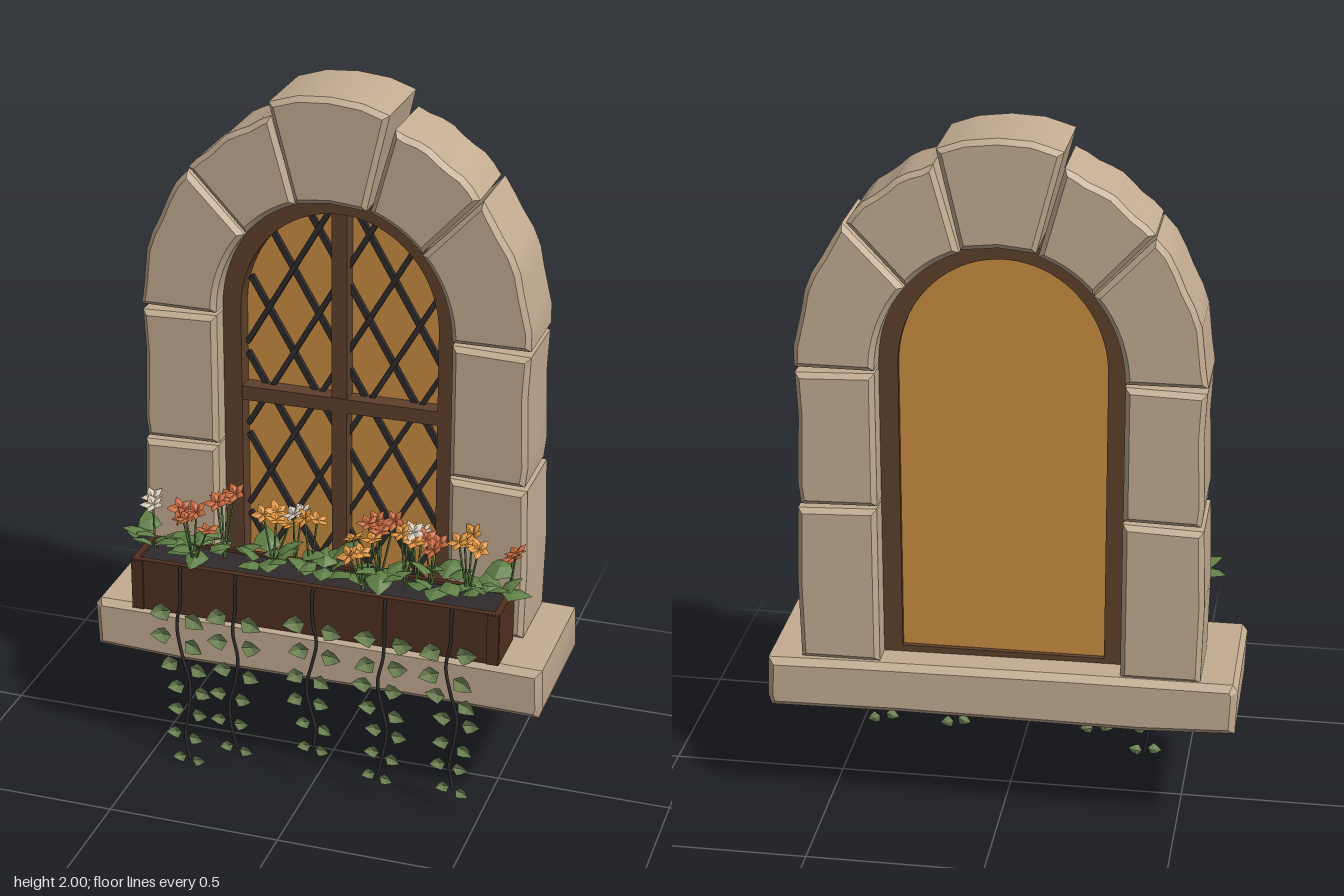
import * as THREE from 'three';
import { mergeGeometries, toCreasedNormals } from 'three/addons/utils/BufferGeometryUtils.js';

const mat = (name, color, extra = {}) => Object.assign(new THREE.MeshStandardMaterial({ color, ...extra }), { name });
const thin = { side: THREE.DoubleSide, flatShading: true };
const M = {
  stone: mat('stone', 0xc4ad92),
  frame: mat('frame wood', 0x5e402b),
  planter: mat('planter wood', 0x502f20),
  glass: mat('amber glass', 0xcb8e42),
  dark: mat('lead and soil', 0x2f2b2c),
  vine: mat('vine leaf', 0x7d9460, thin),
  leaf: mat('planter leaf', 0x5f7f45, thin),
  red: mat('coral petal', 0xc8693f, thin),
  orange: mat('orange petal', 0xdf9440, thin),
  white: mat('pale petal', 0xd9cbb8, thin),
};

let seed = 7;
const rnd = (a = 0, b = 1) => {
  seed = (seed * 16807) % 2147483647;
  return a + (b - a) * (seed / 2147483647);
};

const SPRING = 1.34; // height where the arch starts

function add(parent, name, geo, material, x = 0, y = 0, z = 0) {
  const mesh = new THREE.Mesh(geo, material);
  mesh.name = name;
  mesh.position.set(x, y, z);
  parent.add(mesh);
  return mesh;
}
const box = (parent, name, material, w, h, d, x, y, z) =>
  add(parent, name, new THREE.BoxGeometry(w, h, d), material, x, y, z);

// Bevelled slab from an outline, filling z0..z1
function slab(points, z0, z1, bevel) {
  const shape = points instanceof THREE.Shape ? points : new THREE.Shape(points.map(p => new THREE.Vector2(...p)));
  const geo = new THREE.ExtrudeGeometry(shape, {
    depth: z1 - z0 - 2 * bevel, bevelEnabled: bevel > 0, bevelThickness: bevel,
    bevelSize: bevel, bevelOffset: -bevel, bevelSegments: 1, curveSegments: 20,
  });
  geo.translate(0, 0, z0 + bevel);
  return toCreasedNormals(geo, 0.45);
}

// Round-headed outline
function arch(Type, halfWidth, base, rise) {
  const s = new Type();
  s.moveTo(-halfWidth, base);
  s.lineTo(halfWidth, base);
  s.lineTo(halfWidth, SPRING);
  s.absellipse(0, SPRING, halfWidth, rise, 0, Math.PI, false, 0);
  s.lineTo(-halfWidth, base);
  return s;
}

function buildStones(root) {
  const g = new THREE.Group();
  g.name = 'stoneSurround';
  root.add(g);
  add(g, 'sill', slab([[-0.66, 0.33], [-0.4, 0.32], [0.3, 0.325], [0.65, 0.32], [0.66, 0.35],
    [0.655, 0.47], [0.4, 0.475], [-0.2, 0.48], [-0.65, 0.48], [-0.665, 0.46]], -0.24, 0.18, 0.018), M.stone);

  // Curved wedge between two angles in degrees
  const wedge = (a0, a1) => {
    const at = (a, rx, ry) => [Math.cos(a) * rx, SPRING + Math.sin(a) * ry];
    const outer = [], inner = [], n = 8;
    for (let i = 0; i <= n; i++) {
      const a = THREE.MathUtils.degToRad(a0 + (a1 - a0) * i / n);
      const w = 0.004 * Math.sin(i * 1.7 + a0);
      outer.push(at(a, 0.555 + w, 0.612 + w));
      inner.unshift(at(a, 0.338, 0.362));
    }
    return [...outer, ...inner];
  };
  for (const s of [1, -1]) {
    // Jamb blocks
    const jamb = pts => pts.map(([x, y]) => [x * s, y]);
    add(g, 'lowerJamb', slab(jamb([[0.338, 0.475], [0.56, 0.475], [0.565, 0.7], [0.558, 0.93], [0.338, 0.938]]),
      -0.225, 0.022, 0.014), M.stone);
    add(g, 'upperJamb', slab(jamb([[0.338, 0.945], [0.55, 0.94], [0.557, 1.0], [0.55, 1.2], [0.556, 1.325], [0.338, 1.332]]),
      -0.22, 0.018, 0.014), M.stone);
    // Arch blocks
    const mirror = (a, b) => (s > 0 ? [a, b] : [180 - b, 180 - a]);
    add(g, 'lowerArchStone', slab(wedge(...mirror(0.3, 42)), -0.225, 0.022, 0.014), M.stone);
    add(g, 'upperArchStone', slab(wedge(...mirror(42.7, 72)), -0.222, 0.018, 0.014), M.stone);
  }
  add(g, 'keystone', slab([[-0.1, 1.695], [0, 1.705], [0.1, 1.695], [0.162, 1.965], [0.09, 1.99], [0, 2.0],
    [-0.09, 1.995], [-0.172, 1.97]], -0.23, 0.04, 0.014), M.stone);
}

function buildWindow(root) {
  const g = new THREE.Group();
  g.name = 'window';
  root.add(g);
  const frame = arch(THREE.Shape, 0.338, 0.475, 0.362);
  frame.holes.push(arch(THREE.Path, 0.285, 0.495, 0.31));
  add(g, 'windowFrame', slab(frame, -0.145, -0.045, 0), M.frame);
  add(g, 'glassPane', slab(arch(THREE.Shape, 0.29, 0.49, 0.315), -0.13, -0.1, 0), M.glass);
  box(g, 'mullion', M.frame, 0.044, 1.16, 0.05, 0, 1.07, -0.075);
  box(g, 'crossbar', M.frame, 0.58, 0.042, 0.05, 0, 1.085, -0.073);

  // Diagonal lead bars, clipped to the opening
  const inside = (x, y) => Math.abs(x) < 0.286 && y > 0.495 &&
    (y < SPRING || (x / 0.286) ** 2 + ((y - SPRING) / 0.311) ** 2 < 1);
  const slope = 1.72;
  for (const s of [1, -1]) {
    for (let k = -8; k <= 8; k++) {
      const hits = [];
      for (let x = -0.286; x <= 0.286; x += 0.004) {
        const y = 1.085 + s * slope * x + (k + 0.5) * 0.25;
        if (inside(x, y)) hits.push(new THREE.Vector2(x, y));
      }
      if (hits.length < 4) continue;
      const a = hits[0], b = hits[hits.length - 1];
      const bar = box(g, 'leadBar', M.dark, a.distanceTo(b), 0.015, 0.016,
        (a.x + b.x) / 2, (a.y + b.y) / 2, -0.091 + s * 0.002);
      bar.rotation.z = Math.atan2(b.y - a.y, b.x - a.x);
    }
  }
}

// Folded leaf of unit length along +y
function leafBlade(width) {
  const g = new THREE.BufferGeometry();
  g.setAttribute('position', new THREE.Float32BufferAttribute([
    0, 0, 0, width, 0.28, 0.1, width * 0.72, 0.62, 0.08, 0, 1, 0.12,
    -width * 0.72, 0.62, 0.08, -width, 0.28, 0.1, 0, 0.45, -0.06], 3));
  g.setIndex([0, 1, 6, 1, 2, 6, 2, 3, 6, 3, 4, 6, 4, 5, 6, 5, 0, 6]);
  const flat = g.toNonIndexed();
  flat.computeVertexNormals();
  return flat;
}
const LEAF = leafBlade(0.44), PETAL = leafBlade(0.36);

function placed(blade, pos, pitch, yaw, roll, size) {
  const q = new THREE.Quaternion().setFromEuler(new THREE.Euler(pitch, yaw, roll, 'YXZ'));
  return blade.clone().applyMatrix4(new THREE.Matrix4().compose(pos, q, new THREE.Vector3(size, size, size)));
}

function buildPlanter(root) {
  const g = new THREE.Group();
  g.name = 'planter';
  root.add(g);
  box(g, 'planterFront', M.planter, 1.08, 0.155, 0.018, -0.005, 0.5525, 0.169);
  box(g, 'planterBack', M.planter, 1.08, 0.155, 0.014, -0.005, 0.5525, 0.03);
  box(g, 'planterFloor', M.planter, 1.05, 0.016, 0.14, -0.005, 0.484, 0.1);
  for (const s of [1, -1]) {
    box(g, 'planterEnd', M.planter, 0.018, 0.155, 0.15, -0.005 + s * 0.531, 0.5525, 0.1);
    box(g, 'cornerBatten', M.planter, 0.034, 0.153, 0.008, -0.005 + s * 0.522, 0.5525, 0.18);
  }
  box(g, 'soil', M.dark, 1.05, 0.02, 0.134, -0.005, 0.61, 0.1);

  // Bushy leaves
  const leaves = [], stems = [];
  const clumps = [[-0.5, 0.1], [-0.36, 0.1], [-0.16, 0.1], [0.01, 0.11], [0.17, 0.11], [0.34, 0.09], [0.49, 0.1]];
  for (const [x, z] of clumps) {
    for (let i = 0; i < 9; i++) {
      const yaw = i * 0.7 + rnd(-0.3, 0.3);
      const pos = new THREE.Vector3(x + Math.sin(yaw) * 0.025, rnd(0.64, 0.69), z + Math.cos(yaw) * 0.01);
      leaves.push(placed(LEAF, pos, rnd(0.9, 1.85), yaw, 0, rnd(0.065, 0.095)));
    }
  }
  add(g, 'planterLeaves', mergeGeometries(leaves), M.leaf);

  // Flower heads in small bunches
  const petals = { red: [], orange: [], white: [] };
  const bunches = [
    ['red', -0.3, 0.79, 0.06, 4], ['red', -0.37, 0.77, 0.17, 5], ['orange', -0.15, 0.76, 0.08, 4],
    ['white', -0.09, 0.775, 0.06, 2], ['orange', -0.04, 0.77, 0.08, 2], ['red', 0.16, 0.79, 0.06, 4],
    ['orange', 0.13, 0.76, 0.16, 4], ['white', 0.27, 0.77, 0.07, 2], ['orange', 0.24, 0.775, 0.09, 3],
    ['red', 0.31, 0.76, 0.07, 3], ['orange', 0.42, 0.79, 0.09, 4], ['red', 0.53, 0.75, 0.05, 2],
    ['white', -0.51, 0.745, 0.07, 2],
  ];
  for (const [color, x, y, z, count] of bunches) {
    for (let i = 0; i < count; i++) {
      const a = i * 2.4 + x * 9, r = 0.018 + 0.009 * i;
      const c = new THREE.Vector3(x + Math.cos(a) * r, y + rnd(-0.02, 0.03), z + Math.sin(a) * r * 0.8);
      const tilt = new THREE.Matrix4().makeRotationFromEuler(new THREE.Euler(rnd(-0.1, 0.8), 0, rnd(-0.5, 0.5)));
      for (let p = 0; p < 5; p++) {
        petals[color].push(placed(PETAL, new THREE.Vector3(), 1.25, p * Math.PI * 0.4, 0, rnd(0.034, 0.04))
          .applyMatrix4(tilt).translate(c.x, c.y, c.z));
      }
      const foot = new THREE.Vector3(x, 0.62, 0.1 + (z - 0.1) * 0.6);
      stems.push(new THREE.TubeGeometry(new THREE.LineCurve3(foot, c), 1, 0.003, 4));
    }
  }
  for (const color in petals) add(g, color + 'Flowers', mergeGeometries(petals[color]), M[color]);
  add(g, 'flowerStems', mergeGeometries(stems), M.leaf);
}

function buildVines(root) {
  // Each vine: top x, bottom x, bottom y
  for (const [x0, x1, end] of [[-0.395, -0.365, 0.015], [-0.23, -0.235, 0.08], [0, 0, 0.125], [0.21, 0.21, 0.07], [0.4, 0.425, 0.07]]) {
    const g = new THREE.Group();
    g.name = 'trailingVine';
    root.add(g);
    const pts = [new THREE.Vector3(x0, 0.62, 0.165), new THREE.Vector3(x0, 0.625, 0.185)];
    for (let i = 0; i <= 6; i++) {
      const t = i / 6;
      pts.push(new THREE.Vector3(x0 + (x1 - x0) * t + Math.sin(i * 1.5 + x0 * 8) * 0.014 * Math.min(1, i),
        0.53 + (end - 0.53) * t, 0.19 + 0.014 * Math.min(1, t * 3)));
    }
    const curve = new THREE.CatmullRomCurve3(pts);
    add(g, 'vineStem', new THREE.TubeGeometry(curve, 36, 0.005, 5), M.dark);
    const leaves = [], n = Math.round((0.5 - end) / 0.065);
    for (let i = 0; i < n; i++) {
      const t = i / (n - 1), size = 0.066 - 0.024 * t;
      for (const s of [1, -1]) {
        const p = curve.getPointAt(Math.min(1, 0.24 + 0.74 * t + (s > 0 ? 0.02 : 0)));
        p.x += s * (0.022 - 0.014 * t);
        p.z += 0.004;
        leaves.push(placed(LEAF, p, 0, 0, -s * (1.75 + rnd(-0.35, 0.35)), size));
      }
    }
    add(g, 'vineLeaves', mergeGeometries(leaves), M.vine);
  }
}

export function createModel() {
  const root = new THREE.Group();
  root.name = 'archedWindow';
  buildStones(root);
  buildWindow(root);
  buildPlanter(root);
  buildVines(root);
  return root;
}
